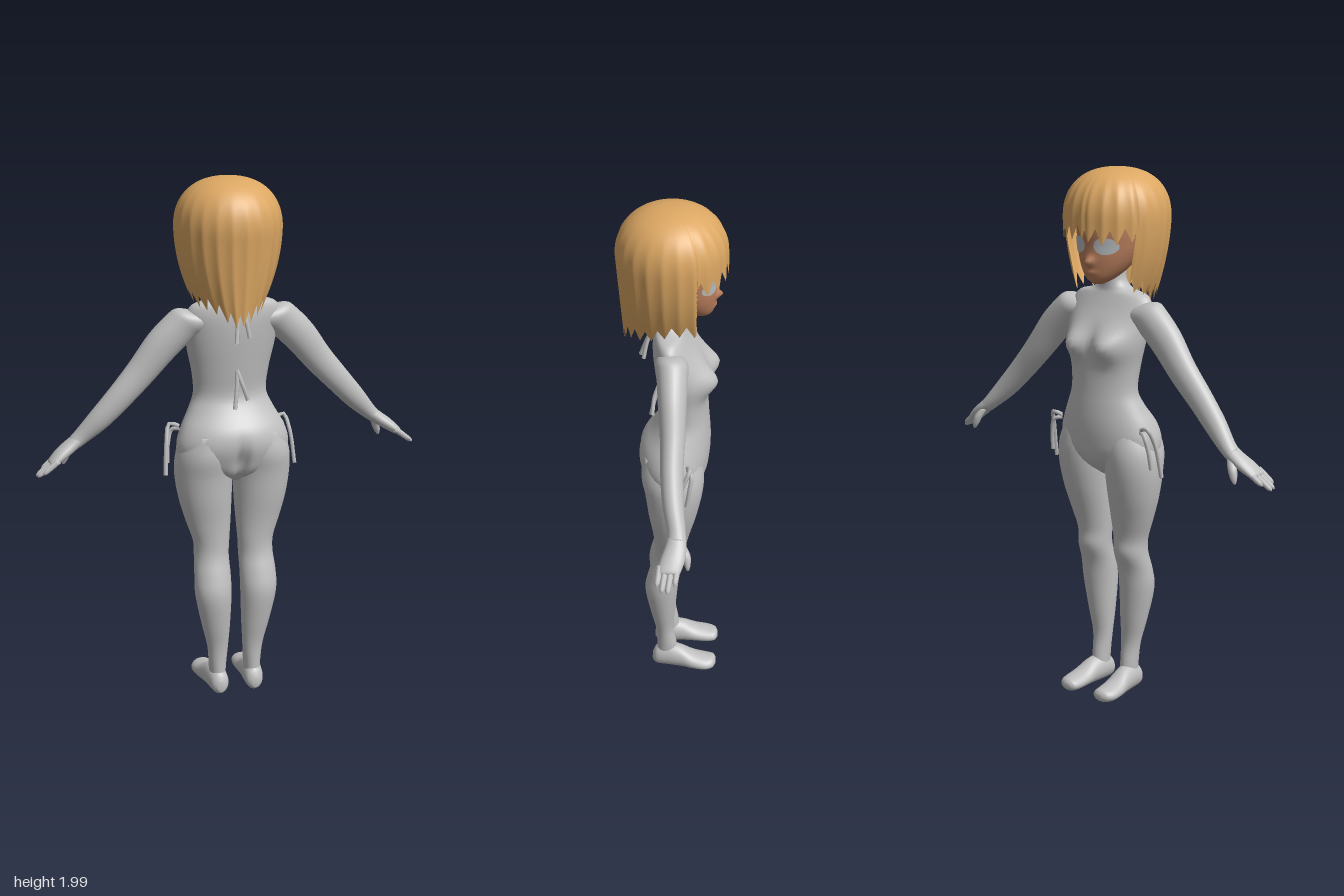
import * as THREE from 'three';

const mat = (name, color) => Object.assign(new THREE.MeshStandardMaterial({ color }), { name });

// Smooth interpolation through equally spaced rows of numbers
function rowSpline(rows) {
  const n = rows[0].length;
  const it = new THREE.CubicInterpolant(rows.map((_, i) => i), rows.flat(), n, new Array(n));
  return t => Array.from(it.evaluate(Math.min(t, rows.length - 1)));
}

// Closed, capped skin over elliptical rings; key = [x, y, z, radius along u, radius along v]
function loft(keys, u, v, { sides = 28, steps = 4, side = 1, warp } = {}) {
  const at = rowSpline(keys), rings = (keys.length - 1) * steps + 1, pos = [], idx = [];
  for (let i = 0; i < rings; i++) {
    const [x, y, z, ru, rv] = at(i / steps);
    for (let j = 0; j < sides; j++) {
      const a = j / sides * Math.PI * 2;
      const p = new THREE.Vector3(x, y, z)
        .addScaledVector(u, Math.cos(a) * ru).addScaledVector(v, Math.sin(a) * rv);
      if (warp) warp(p);
      pos.push(p.x * side, p.y, p.z);
      if (i < rings - 1) {
        const b = i * sides + j, c = i * sides + (j + 1) % sides;
        idx.push(b, b + sides, c, c, b + sides, c + sides);
      }
    }
  }
  for (const [start, end] of [[0, 0], [(rings - 1) * sides, 1]]) {
    const k = keys[end ? keys.length - 1 : 0], centre = pos.length / 3;
    pos.push(k[0] * side, k[1], k[2]);
    for (let j = 0; j < sides; j++) {
      const b = start + j, c = start + (j + 1) % sides;
      idx.push(...(end ? [b, centre, c] : [b, c, centre]));
    }
  }
  // Turn the skin outward if its volume is negative
  const P = i => new THREE.Vector3().fromArray(pos, i * 3);
  let volume = 0;
  for (let i = 0; i < idx.length; i += 3) volume += P(idx[i]).dot(P(idx[i + 1]).cross(P(idx[i + 2])));
  if (volume < 0) idx.reverse();
  const g = new THREE.BufferGeometry();
  g.setAttribute('position', new THREE.Float32BufferAttribute(pos, 3));
  g.setIndex(idx);
  g.computeVertexNormals();
  return g;
}

const X = new THREE.Vector3(1, 0, 0), Y = new THREE.Vector3(0, 1, 0), Z = new THREE.Vector3(0, 0, 1);
const bump = (d, w) => Math.exp(-(d * d) / (w * w));
// [centre x, y, half width, front z, back z] -> loft key
const slab = ([x, y, w, f, b]) => [x, y, (f + b) / 2, w, (b - f) / 2];

export function createModel() {
  const root = new THREE.Group();
  const grey = mat('body grey', 0xc0c0c0), skin = mat('face skin', 0xb87d5c);
  const blond = mat('hair blond', 0xdca763), eyeGrey = mat('eye grey', 0xb6babd);
  grey.side = blond.side = eyeGrey.side = THREE.DoubleSide;
  const add = (name, geo, material, parent = root) => {
    const m = new THREE.Mesh(geo, material);
    m.name = name;
    parent.add(m);
    return m;
  };

  // Torso and neck, facing -z
  const torso = [
    [0, 0.87, 0.04, -0.05, 0.03], [0, 0.91, 0.14, -0.1, 0.085], [0, 0.96, 0.205, -0.13, 0.108],
    [0, 1.02, 0.215, -0.14, 0.122], [0, 1.08, 0.195, -0.143, 0.11], [0, 1.14, 0.163, -0.14, 0.068],
    [0, 1.2, 0.14, -0.135, 0.042], [0, 1.29, 0.148, -0.13, 0.05], [0, 1.37, 0.165, -0.128, 0.06],
    [0, 1.44, 0.175, -0.108, 0.067], [0, 1.5, 0.18, -0.075, 0.068], [0, 1.545, 0.155, -0.052, 0.062],
    [0, 1.565, 0.085, -0.045, 0.055], [0, 1.6, 0.05, -0.045, 0.05], [-0.01, 1.68, 0.045, -0.05, 0.045]];
  add('torso', loft(torso.map(slab), X, Z, {
    sides: 56, warp: p => {
      if (p.z < -0.03) p.z -= 0.05 * bump(Math.abs(p.x) - 0.075, 0.055) * bump(p.y - 1.37, 0.055);
      if (p.z > 0.03) p.z -= 0.035 * bump(p.x, 0.018) * bump(p.y - 0.95, 0.07);
    }
  }), grey);

  const leg = [
    [0.07, 0.05, 0.03, -0.03, 0.055], [0.07, 0.12, 0.034, -0.022, 0.055], [0.071, 0.2, 0.041, -0.01, 0.06],
    [0.08, 0.3, 0.056, -0.018, 0.08], [0.09, 0.42, 0.07, -0.028, 0.098], [0.09, 0.5, 0.07, -0.038, 0.084],
    [0.088, 0.57, 0.067, -0.062, 0.064], [0.088, 0.63, 0.07, -0.06, 0.06], [0.098, 0.71, 0.086, -0.076, 0.066],
    [0.108, 0.8, 0.101, -0.1, 0.08], [0.113, 0.9, 0.11, -0.12, 0.092], [0.11, 0.98, 0.107, -0.126, 0.106],
    [0.1, 1.06, 0.085, -0.115, 0.095]];
  const foot = [
    [0.07, 0.04, 0.073, 0.014, 0.02], [0.07, 0.05, 0.055, 0.034, 0.043], [0.073, 0.058, 0.01, 0.04, 0.052],
    [0.078, 0.054, -0.04, 0.041, 0.048], [0.083, 0.042, -0.09, 0.046, 0.034],
    [0.085, 0.036, -0.14, 0.046, 0.028], [0.082, 0.036, -0.17, 0.036, 0.023], [0.08, 0.036, -0.182, 0.015, 0.01]];
  const arm = [
    [0.11, 1.485, -0.005, 0.05, 0.05], [0.16, 1.483, -0.01, 0.067, 0.058], [0.2, 1.46, -0.015, 0.066, 0.055],
    [0.27, 1.392, -0.02, 0.064, 0.05], [0.345, 1.3, -0.027, 0.056, 0.044], [0.425, 1.212, -0.03, 0.049, 0.04],
    [0.5, 1.132, -0.04, 0.042, 0.037], [0.56, 1.072, -0.056, 0.031, 0.032], [0.59, 1.045, -0.06, 0.026, 0.032]];
  const palm = [
    [0.57, 1.062, -0.058, 0.025, 0.03], [0.6, 1.04, -0.058, 0.025, 0.036],
    [0.64, 1.012, -0.05, 0.023, 0.042], [0.675, 0.986, -0.04, 0.016, 0.04], [0.685, 0.98, -0.038, 0.008, 0.034]];
  const thumb = [
    [0.595, 1.035, -0.075, 0.016, 0.016], [0.61, 1.005, -0.092, 0.017, 0.016],
    [0.62, 0.975, -0.098, 0.013, 0.012], [0.626, 0.955, -0.1, 0.005, 0.005]];
  const across = new THREE.Vector3(0.7, 0.714, 0);

  for (const [side, label] of [[1, 'left'], [-1, 'right']]) {
    const limb = (name, keys, u, v, sides = 28) => add(label + name, loft(keys, u, v, { side, sides }), grey);
    limb('Leg', leg.map(slab), X, Z);
    limb('Foot', foot, X, Y);
    limb('Arm', arm, across, Z);
    limb('Palm', palm, across, Z, 20);
    limb('Thumb', thumb, X, Z, 10);
    // Four fingers, the middle ones longest
    [0.055, 0.083, 0.08, 0.06].forEach((len, i) => {
      const z = -0.068 + i * 0.02;
      const key = (d, r) => [0.66 + d * 0.82, 0.997 - d * 0.62, z + d * 0.1, r, r];
      limb('Finger' + (i + 1), [key(0, 0.012), key(len * 0.6, 0.011), key(len, 0.009), key(len + 0.012, 0.003)], across, Z, 8);
    });
    // Hip ties
    const ties = [[[0.19, 1.07, -0.07], [0.225, 1.08, -0.08], [0.243, 1.02, -0.055], [0.255, 0.895, -0.03]],
      [[0.19, 1.06, -0.07], [0.215, 1.055, -0.085], [0.232, 1.0, -0.08], [0.238, 0.93, -0.07]]];
    for (const t of ties) addTie(label + 'HipTie', t.map(([x, y, z]) => [x * side, y, z]));
  }

  // Ties hanging at the nape and the middle of the back
  function addTie(name, pts) {
    const curve = new THREE.CatmullRomCurve3(pts.map(p => new THREE.Vector3(...p)));
    add(name, new THREE.TubeGeometry(curve, 12, 0.008, 6), grey);
  }
  addTie('napeTie', [[0, 1.56, 0.055], [-0.01, 1.49, 0.088], [-0.022, 1.415, 0.115]]);
  addTie('napeTie', [[0.01, 1.56, 0.055], [0.02, 1.5, 0.085], [0.032, 1.43, 0.1]]);
  addTie('backTie', [[0, 1.3, 0.048], [-0.005, 1.24, 0.062], [-0.018, 1.16, 0.08]]);
  addTie('backTie', [[0, 1.3, 0.048], [0.015, 1.25, 0.065], [0.035, 1.19, 0.07]]);

  // Head, with nose and lips swelling out of the face
  const head = new THREE.Group();
  head.name = 'head';
  head.position.x = -0.02;
  root.add(head);
  const skull = [
    [0, 1.592, 0.018, -0.125, -0.08], [0, 1.61, 0.05, -0.143, -0.04], [0, 1.64, 0.08, -0.15, 0.01],
    [0, 1.68, 0.106, -0.153, 0.06], [0, 1.73, 0.125, -0.152, 0.1], [0, 1.8, 0.132, -0.155, 0.12],
    [0, 1.87, 0.12, -0.14, 0.115], [0, 1.93, 0.07, -0.09, 0.07]].map(slab);
  add('face', loft(skull, X, Z, {
    sides: 64, steps: 6, warp: p => {
      if (p.z > -0.08) return;
      p.z -= 0.024 * bump(p.x, 0.016) * bump(p.y - 1.675, 0.016);
      p.z -= 0.007 * bump(p.x, 0.024) * bump(p.y - 1.635, 0.01);
    }
  }), skin, head);

  // Eyes: thin ovals laid on the face
  const skullAt = rowSpline(skull);
  const faceZ = (x, y) => {
    let lo = 0, hi = skull.length - 1;
    for (let i = 0; i < 24; i++) {
      const m = (lo + hi) / 2;
      if (skullAt(m)[1] < y) lo = m; else hi = m;
    }
    const k = skullAt(lo);
    return k[2] - k[4] * Math.sqrt(Math.max(0, 1 - (x / k[3]) ** 2));
  };
  for (const side of [1, -1]) {
    const g = new THREE.RingGeometry(0.001, 1, 28, 5), p = g.attributes.position;
    for (let i = 0; i < p.count; i++) {
      const x = side * 0.06 + p.getX(i) * 0.04, y = 1.732 + p.getY(i) * 0.03;
      p.setXYZ(i, x, y, faceZ(x, y) - 0.005);
    }
    g.computeVertexNormals();
    add(side > 0 ? 'leftEye' : 'rightEye', g, eyeGrey, head);
  }

  // Hair: one shell from the crown to a jagged edge, cut short over the face
  const cols = 180, rows = 28, hp = [], hi = [];
  const lerp = THREE.MathUtils.lerp, smooth = THREE.MathUtils.smoothstep;
  for (let j = 0; j < cols; j++) {
    const a = j / cols * Math.PI * 2;                 // 0 at the face, PI at the back
    const off = Math.min(a, Math.PI * 2 - a) * 180 / Math.PI;
    const tooth = Math.abs(((j / 8) % 1) * 2 - 1), wob = Math.sin(a * 5 + 1);
    const edge = off < 62
      ? 1.80 - 0.055 * tooth + 0.008 * wob
      : lerp(1.605, 1.545, smooth(off, 95, 165)) - 0.05 * tooth + 0.012 * wob;
    for (let i = 0; i <= rows; i++) {
      const t = i / rows, y = lerp(2, edge, t ** 1.7);
      const up = Math.max(0, (y - 1.82) / 0.18), low = Math.max(0, 1.82 - y);
      const dome = (1 - up ** 2.3) ** (1 / 2.3);
      const rx = (0.196 - 0.9 * low * low - 0.02 * low) * dome;
      const rz = (Math.cos(a) > 0 ? 0.195 : 0.2 - 0.08 * low) * dome;
      const wave = 1 - 0.025 * Math.abs(Math.sin(a * 11.25)) * smooth(t, 0.2, 0.7);
      hp.push(Math.sin(a) * rx * wave, y, -Math.cos(a) * rz * wave);
      if (i < rows) {
        const b = j * (rows + 1) + i, c = ((j + 1) % cols) * (rows + 1) + i;
        hi.push(b, c, b + 1, c, c + 1, b + 1);
      }
    }
  }
  const hair = new THREE.BufferGeometry();
  hair.setAttribute('position', new THREE.Float32BufferAttribute(hp, 3));
  hair.setIndex(hi);
  hair.computeVertexNormals();
  add('hair', hair, blond, head);
  return root;
}
